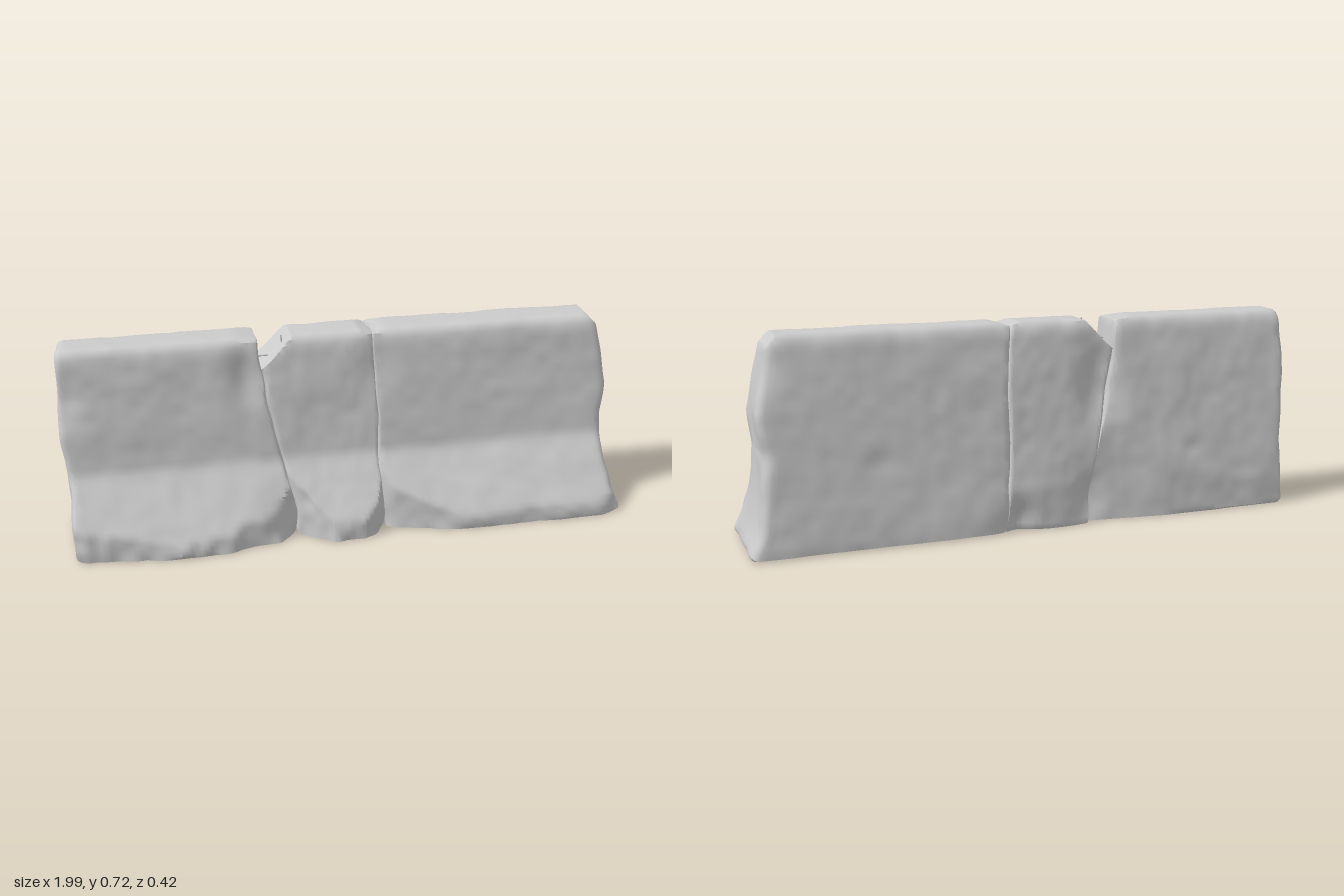
import * as THREE from 'three';
import { mergeVertices, toCreasedNormals } from 'three/addons/utils/BufferGeometryUtils.js';

const material = new THREE.MeshStandardMaterial({ color: 0xcccccc, roughness: 0.9 });

// Barrier cross-section as [z, y], starting at the toe and running over the top to the back
const SECTION = [[0.195, 0.01], [0.207, 0.02], [0.205, 0.045], [0.19, 0.075], [0.066, 0.272], [0.058, 0.295],
  [0.034, 0.685], [0.026, 0.712], [0.005, 0.726], [-0.105, 0.726], [-0.122, 0.716], [-0.133, 0.685],
  [-0.152, 0.54], [-0.206, 0.04], [-0.207, 0.015], [-0.2, 0.01]];

// Broad chipped hollows: [x, y, side, radius x, radius y, depth]
const DENTS = [
  [-0.36, 0.60, 1, 0.05, 0.09, 0.02], [-0.25, 0.12, 1, 0.06, 0.1, 0.02], [0.1, 0.63, 1, 0.05, 0.09, 0.012],
  [-0.97, 0.55, 1, 0.04, 0.08, 0.015], [-0.24, 0.5, -1, 0.07, 0.14, 0.035], [-0.2, 0.1, -1, 0.06, 0.1, 0.03],
  [0.07, 0.03, -1, 0.05, 0.08, 0.035], [0.93, 0.64, -1, 0.05, 0.08, 0.02], [0.3, 0.25, 1, 0.1, 0.05, 0.006],
  [-0.6, 0.25, -1, 0.04, 0.03, 0.008], [0.55, 0.3, -1, 0.05, 0.04, 0.008]];

// Piecewise-linear lookup through [key, value] pairs
function along(pairs, k) {
  if (k <= pairs[0][0]) return pairs[0][1];
  for (let i = 1; i < pairs.length; i++) {
    const [a, va] = pairs[i - 1], [b, vb] = pairs[i];
    if (k <= b) return va + (vb - va) * (k - a) / (b - a);
  }
  return pairs[pairs.length - 1][1];
}

// Smooth repeatable value noise, -1..1
function hash(x, y, z) {
  const s = Math.sin(x * 127.1 + y * 311.7 + z * 74.7) * 43758.5453;
  return (s - Math.floor(s)) * 2 - 1;
}
function noise(x, y, z) {
  const p = [x, y, z], f = p.map(Math.floor);
  const w = p.map((v, i) => (v - f[i]) ** 2 * (3 - 2 * (v - f[i])));
  let sum = 0;
  for (let c = 0; c < 8; c++) {
    const b = [c & 1, (c >> 1) & 1, c >> 2];
    const k = b.reduce((m, on, i) => m * (on ? w[i] : 1 - w[i]), 1);
    sum += k * hash(f[0] + b[0], f[1] + b[1], f[2] + b[2]);
  }
  return sum;
}

// Evenly spaced points round the closed section
function ringPoints(count) {
  const path = new THREE.CurvePath();
  SECTION.forEach((p, i) => {
    const q = SECTION[(i + 1) % SECTION.length];
    path.add(new THREE.LineCurve(new THREE.Vector2(...p), new THREE.Vector2(...q)));
  });
  return path.getSpacedPoints(count).slice(0, count);
}

// Worn lump of concrete: section swept between two broken ends, closed by rounded caps
function chunk({ name, left, right, toe, back, top, radii }) {
  const M = 110, N = 44, CZ = -0.03, CY = 0.34;
  const ring = ringPoints(M);
  // Ring list: position along the length, offset from the ends, edge inset and cap scale
  const rings = [];
  const end = (u, r) => {
    const list = [0.02, 0.25, 0.5, 0.75, 0.92].map(s => ({ u, shift: 0, inset: r, scale: s }));
    for (let i = 0; i <= 4; i++) {
      const a = i / 4 * Math.PI / 2;
      list.push({ u, shift: r * (1 - Math.sin(a)), inset: r * (1 - Math.sin(a)), scale: 1 });
      list[list.length - 1].shift = r * (1 - Math.cos(a));
    }
    return list;
  };
  rings.push(...end(0, radii[0]));
  for (let i = 1; i < N; i++) rings.push({ u: i / N, shift: 0, inset: 0, scale: 1, body: true });
  rings.push(...end(1, radii[1]).reverse());

  const pos = [], index = [];
  for (const r of rings) {
    for (const p of ring) {
      let z = CZ + (p.x - CZ) * (1 - r.inset / 0.12) * r.scale;
      let y = CY + (p.y - CY) * (1 - r.inset / 0.36) * r.scale;
      const a = along(left, y), b = along(right, y);
      let x = r.body
        ? a + radii[0] + (b - radii[1] - a - radii[0]) * r.u
        : r.u === 0 ? a + r.shift : b - r.shift;
      // Broken toe, worn back foot and chipped top
      z = Math.min(z, along(toe, x) + 0.006 * noise(x * 30, y * 20, 3));
      z = Math.max(z, along(back, x));
      y = Math.min(y, along(top, x));
      for (const [dx, dy, side, rx, ry, depth] of DENTS) {
        if ((z - CZ) * side < 0.03) continue;
        z -= side * depth * Math.exp(-(((x - dx) / rx) ** 2) - ((y - dy) / ry) ** 2);
      }
      // Weathered surface
      const rough = 0.004 * noise(x * 9, y * 9, z * 9) + 0.002 * noise(x * 25 + 7, y * 25, z * 25);
      z += rough * Math.sign(z - CZ);
      if (y > 0.03) y += rough * 0.4;
      if (!r.body) x += 0.008 * noise(x * 5 + 40, y * 12, z * 12);
      pos.push(x, y, z);
    }
  }
  for (let i = 0; i < rings.length - 1; i++) {
    for (let j = 0; j < M; j++) {
      const k = (j + 1) % M;
      const a = i * M + j, b = i * M + k, c = a + M, d = b + M;
      index.push(a, c, b, b, c, d);
    }
  }
  // Close the tiny hole in the middle of each cap
  const last = (rings.length - 1) * M;
  for (let j = 1; j < M - 1; j++) {
    index.push(0, j, j + 1, last, last + j + 1, last + j);
  }
  const g = new THREE.BufferGeometry();
  g.setAttribute('position', new THREE.Float32BufferAttribute(pos, 3));
  g.setIndex(index);
  const mesh = new THREE.Mesh(toCreasedNormals(mergeVertices(g), 0.8), material);
  mesh.name = name;
  return mesh;
}

export function createModel() {
  const group = new THREE.Group();
  group.name = 'brokenBarrier';

  // Fracture lines as [y, x]
  const crack = [[0, -0.2], [0.1, -0.2], [0.28, -0.24], [0.4, -0.27], [0.62, -0.305], [0.73, -0.315]];
  const seam = [[0, 0.12], [0.2, 0.105], [0.5, 0.1], [0.73, 0.08]];

  group.add(
    chunk({
      name: 'rightChunk',
      left: [[0, -0.975], [0.25, -0.975], [0.5, -0.99], [0.6, -0.98], [0.73, -0.98]],
      right: crack,
      toe: [[-0.98, 0.15], [-0.93, 0.165], [-0.77, 0.175], [-0.62, 0.203], [-0.45, 0.19], [-0.35, 0.165], [-0.27, 0.16], [-0.2, 0.09]],
      back: [[-0.98, -0.19], [-0.85, -0.198], [-0.5, -0.19], [-0.3, -0.165]],
      top: [[-0.4, 0.73], [-0.31, 0.715]],
      radii: [0.022, 0.012],
    }),
    chunk({
      name: 'middleChunk',
      left: crack.map(([y, x]) => [y, x + 0.004]),
      right: seam.map(([y, x]) => [y, x - 0.001]),
      toe: [[-0.22, 0.09], [-0.17, 0.125], [-0.08, 0.185], [0.03, 0.19], [0.08, 0.155], [0.11, 0.1]],
      back: [[-0.3, -0.19], [0.1, -0.195]],
      top: [[-0.31, 0.61], [-0.27, 0.645], [-0.2, 0.722], [0.03, 0.73], [0.09, 0.71]],
      radii: [0.012, 0.008],
    }),
    chunk({
      name: 'leftChunk',
      left: seam,
      right: [[0, 1], [0.03, 0.99], [0.1, 0.962], [0.2, 0.945], [0.35, 0.93], [0.47, 0.95], [0.6, 0.925], [0.73, 0.9]],
      toe: [[0.1, 0.1], [0.14, 0.125], [0.25, 0.16], [0.4, 0.2], [0.65, 0.195], [0.88, 0.205], [0.95, 0.18], [1, 0.16]],
      back: [[0.1, -0.2], [0.3, -0.21]],
      top: [[0.09, 0.715], [0.14, 0.73], [0.87, 0.728], [0.9, 0.69]],
      radii: [0.008, 0.03],
    }),
  );

  // Thin bent reinforcing wire showing in the break
  const wire = new THREE.CatmullRomCurve3([
    [-0.33, 0.645, -0.03], [-0.27, 0.645, -0.03], [-0.235, 0.65, -0.025], [-0.226, 0.67, -0.02], [-0.227, 0.718, -0.02],
  ].map(p => new THREE.Vector3(...p)));
  const rebar = new THREE.Mesh(new THREE.TubeGeometry(wire, 20, 0.003, 6), material);
  rebar.name = 'rebarWire';
  group.add(rebar);

  return group;
}
